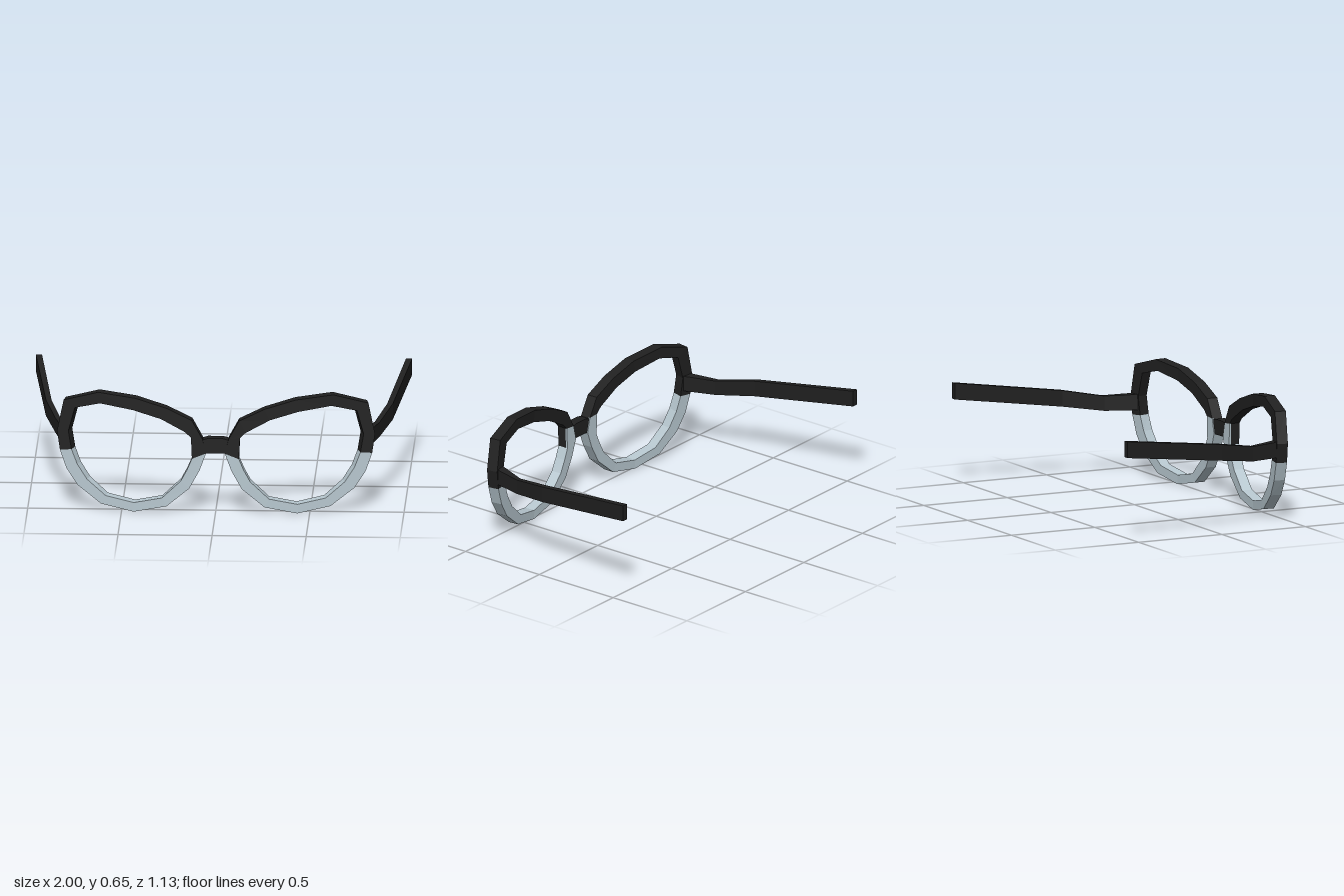
import * as THREE from 'three';

const black = new THREE.MeshStandardMaterial({ color: 0x202020, flatShading: true });
const grey = new THREE.MeshStandardMaterial({ color: 0xb8c8d0, flatShading: true });

// Loft through four-cornered sections, capped at both ends
function loft(name, sections, material) {
  const pos = [];
  const quad = (a, b, c, d) => [a, b, c, a, c, d].forEach((p) => pos.push(...p));
  for (let i = 0; i < sections.length - 1; i++) {
    const a = sections[i], b = sections[i + 1];
    for (let j = 0; j < 4; j++) {
      const k = (j + 1) % 4;
      quad(a[j], a[k], b[k], b[j]);
    }
  }
  const s = sections[0], e = sections[sections.length - 1];
  quad(s[3], s[2], s[1], s[0]);
  quad(e[0], e[1], e[2], e[3]);
  const geo = new THREE.BufferGeometry();
  geo.setAttribute('position', new THREE.Float32BufferAttribute(pos, 3));
  geo.computeVertexNormals();
  const mesh = new THREE.Mesh(geo, material);
  mesh.name = name;
  return mesh;
}

// Mirror sections to the other side, keeping faces outward
const mirror = (sections) => sections.map((s) => s.map(([x, y, z]) => [-x, y, z]).reverse());

// Wrap curve of the front: flat in the middle, swept back at the sides
const frontZ = (x) => (x < 0.44 ? 0.565 - 0.1 * x * x : 0.546 - 0.17 * (x - 0.44));
const DEPTH = 0.06;

// Rim section between an outer and an inner outline point, from depth d0 to d1
function rimSection([ox, oy, ix, iy], d0 = 0, d1 = DEPTH) {
  const at = (x, y, d, lean) => [x - lean * x * x * d, y, frontZ(x) - d];
  return [at(ox, oy, d0, 0.25), at(ix, iy, d0, 0.5), at(ix, iy, d1, 0.5), at(ox, oy, d1, 0.25)];
}

// Outlines as [outer x, outer y, inner x, inner y], clockwise from the nose
const nose = [
  [0.05, 0.335, 0.125, 0.305],
  [0.07, 0.415, 0.13, 0.42],
];
const brow = [
  nose[1],
  [0.125, 0.515, 0.16, 0.45],
  [0.26, 0.58, 0.29, 0.52],
  [0.425, 0.63, 0.44, 0.565],
  [0.625, 0.652, 0.615, 0.592],
  [0.81, 0.6, 0.75, 0.56],
  [0.845, 0.43, 0.785, 0.43],
  [0.83, 0.325, 0.768, 0.33],
];
const lower = [
  brow[7],
  [0.795, 0.225, 0.737, 0.25],
  [0.735, 0.135, 0.685, 0.17],
  [0.61, 0.04, 0.585, 0.085],
  [0.435, 0.005, 0.435, 0.055],
  [0.26, 0.04, 0.285, 0.085],
  [0.14, 0.14, 0.185, 0.18],
  [0.085, 0.24, 0.15, 0.245],
  nose[0],
];

// Temple stations: [outer x, inner x, bottom y, top y, z]
const temple = [
  [0.825, 0.77, 0.355, 0.44, 0.43],
  [0.862, 0.835, 0.355, 0.435, 0.26],
  [0.922, 0.892, 0.387, 0.474, 0.04],
  [1.0, 0.967, 0.465, 0.553, -0.567],
].map(([xo, xi, y0, y1, z]) => [[xo, y1, z], [xo, y0, z], [xi, y0, z], [xi, y1, z]]);

export function createModel() {
  const model = new THREE.Group();
  model.name = 'eyeglasses';
  const padSplit = 0.05;

  const parts = [
    ['browRim', brow.map((p) => rimSection(p)), black],
    ['lowerRim', lower.map((p) => rimSection(p)), grey],
    ['noseRim', nose.map((p) => rimSection(p, 0, padSplit)), black],
    ['nosePad', nose.map((p) => rimSection(p, padSplit, DEPTH)), grey],
    ['temple', temple, black],
  ];
  for (const [name, sections, material] of parts) {
    model.add(loft(name + 'Left', sections, material));
    model.add(loft(name + 'Right', mirror(sections), material));
  }

  // Bridge, slightly arched on top
  const bridge = [[-0.068, 0.41], [-0.04, 0.418], [0.04, 0.418], [0.068, 0.41]].map(([x, top]) => {
    const z = frontZ(Math.abs(x)), bx = x * 0.75;
    return [[x, top, z], [bx, 0.335, z], [bx, 0.335, z - 0.055], [x, top, z - 0.055]];
  });
  model.add(loft('bridge', bridge, black));
  return model;
}
